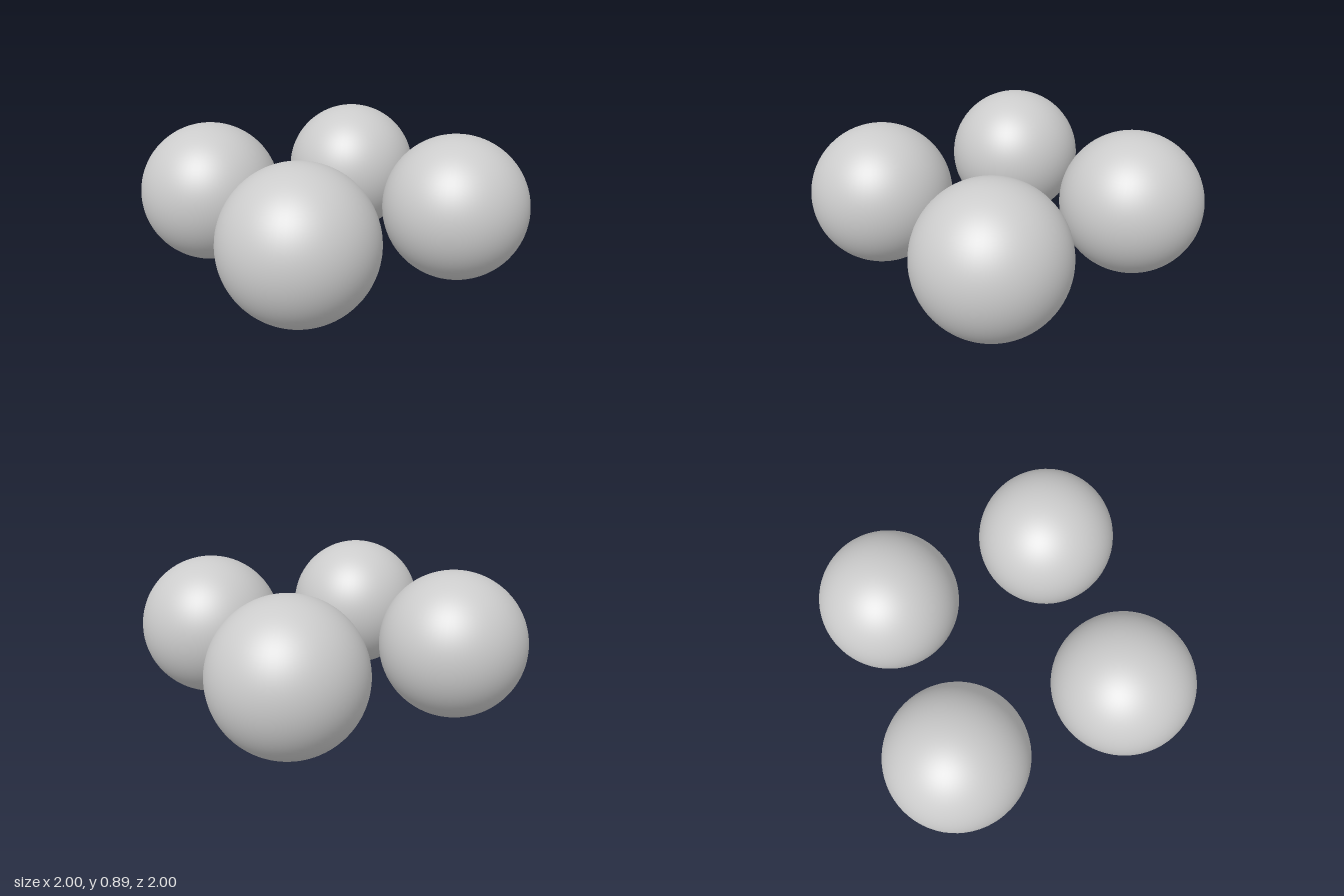
import * as THREE from 'three';

export function createModel() {
  const model = new THREE.Group();
  model.name = 'sphereGrid';

  const radius = 4 / 9;
  const offset = 1 - radius; // outer edges reach +-1
  const geometry = new THREE.SphereGeometry(radius, 64, 48);
  const material = new THREE.MeshStandardMaterial({ color: 0xcccccc });

  // Four equal balls in a two by two square, resting on the floor
  for (const [side, x] of [['Left', offset], ['Right', -offset]]) {
    for (const [end, z] of [['front', offset], ['back', -offset]]) {
      const ball = new THREE.Mesh(geometry, material);
      ball.name = `${end}${side}Sphere`;
      ball.position.set(x, radius, z);
      model.add(ball);
    }
  }
  return model;
}
